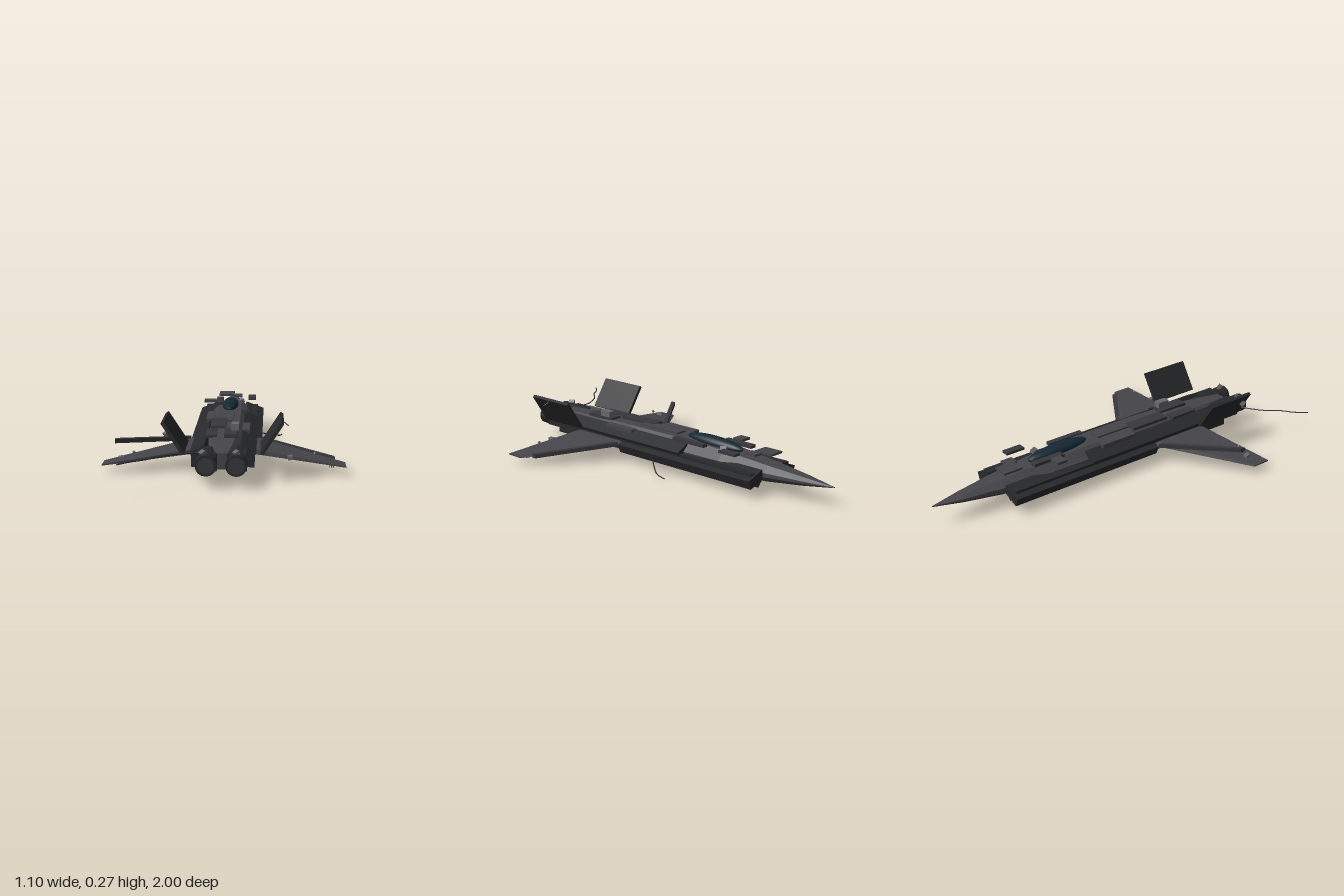
import * as THREE from 'three';

const mat = (color) => new THREE.MeshStandardMaterial({ color, flatShading: true });
const hull = mat(0x45454a), dark = mat(0x28292b), plate = mat(0x38383c), light = mat(0x68686c);
const glass = new THREE.MeshStandardMaterial({ color: 0x142834 });

// Skin between closed rings of [x, y, z], capped at both ends
function loft(rings) {
  const pos = [], n = rings[0].length;
  const tri = (a, b, c) => pos.push(...a, ...b, ...c);
  for (let i = 0; i < rings.length - 1; i++) {
    for (let j = 0; j < n; j++) {
      const k = (j + 1) % n, p = rings[i], q = rings[i + 1];
      tri(p[j], p[k], q[k]);
      tri(p[j], q[k], q[j]);
    }
  }
  const first = rings[0], last = rings[rings.length - 1];
  for (let j = 1; j < n - 1; j++) {
    tri(first[0], first[j + 1], first[j]);
    tri(last[0], last[j], last[j + 1]);
  }
  const g = new THREE.BufferGeometry();
  g.setAttribute('position', new THREE.Float32BufferAttribute(pos, 3));
  g.computeVertexNormals();
  return g;
}

function add(parent, name, geometry, material, x = 0, y = 0, z = 0, rz = 0) {
  const m = new THREE.Mesh(geometry, material);
  m.name = name;
  m.position.set(x, y, z);
  m.rotation.z = rz;
  parent.add(m);
  return m;
}

const box = (w, h, d) => new THREE.BoxGeometry(w, h, d);

// Flat blade section across the span: top, trailing edge, bottom, leading edge
const blade = (x, y, lead, trail, t) => [
  [x, y + t, lead + (trail - lead) * 0.12], [x, y + t, trail],
  [x, y - t, trail], [x, y - t, lead + (trail - lead) * 0.12], [x, y, lead],
];

function slat(rootY, tipY) {
  const section = (x, y, z) => [
    [x, y + 0.01, z - 0.01], [x, y + 0.01, z + 0.016],
    [x, y - 0.01, z + 0.016], [x, y - 0.01, z - 0.01],
  ];
  return loft([section(0.17, rootY, 0.21), section(0.505, tipY, 0.452)]);
}

function cable(points, r) {
  const curve = new THREE.CatmullRomCurve3(points.map((p) => new THREE.Vector3(...p)));
  return new THREE.TubeGeometry(curve, 20, r, 5);
}

// Parts shared by both sides, built at +x
function buildSide() {
  const s = new THREE.Group();
  add(s, 'wing', loft([
    blade(0.08, 0.095, 0.13, 0.5, 0.012),
    blade(0.165, 0.088, 0.2, 0.515, 0.01),
    blade(0.55, 0.042, 0.49, 0.59, 0.003),
  ]), hull);
  add(s, 'tailFin', box(0.016, 0.165, 0.265), dark, 0.217, 0.196, 0.598, -0.575);

  // Intake trunks, drooping outward
  add(s, 'intakeTrunk', box(0.1, 0.045, 0.85), dark, 0.115, 0.085, -0.225, -0.36);
  add(s, 'upperTrunk', box(0.075, 0.04, 0.87), dark, 0.105, 0.122, 0.245, -0.5);
  add(s, 'sideTrunk', box(0.08, 0.055, 1.31), dark, 0.1, 0.085, 0.02);
  add(s, 'lowerTrunk', box(0.06, 0.03, 1.3), dark, 0.092, 0.062, 0.02, 0.6);

  // Engine with a ribbed exhaust
  const tube = (r1, r2, len) => new THREE.CylinderGeometry(r1, r2, len, 16).rotateX(Math.PI / 2);
  add(s, 'engineCasing', box(0.088, 0.075, 0.16), dark, 0.065, 0.105, 0.72);
  add(s, 'nozzle', tube(0.043, 0.046, 0.2), dark, 0.065, 0.105, 0.765);
  add(s, 'nozzleRing', tube(0.047, 0.047, 0.045), dark, 0.065, 0.105, 0.84);
  add(s, 'nozzleFace', new THREE.CircleGeometry(0.036, 16), plate, 0.065, 0.105, 0.867);
  return s;
}

export function createModel() {
  const jet = new THREE.Group();
  jet.name = 'jet';

  // Fuselage: z, half width, bottom, top
  const stations = [
    [-1, 0.002, 0.099, 0.103], [-0.85, 0.038, 0.08, 0.119], [-0.65, 0.072, 0.06, 0.137],
    [-0.4, 0.098, 0.05, 0.158], [-0.15, 0.11, 0.045, 0.167], [0.2, 0.113, 0.043, 0.167],
    [0.45, 0.1, 0.047, 0.162], [0.65, 0.075, 0.055, 0.152], [0.78, 0.045, 0.07, 0.142],
  ];
  add(jet, 'fuselage', loft(stations.map(([z, w, b, t]) => {
    const h = t - b;
    const half = [[w * 0.6, b], [w, b + h * 0.35], [w, b + h * 0.62], [w * 0.55, t]];
    const mirrored = half.slice().reverse().map(([x, y]) => [-x, y]);
    return [...half, ...mirrored].map(([x, y]) => [x, y, z]);
  })), hull);

  // Canopy
  const canopy = add(jet, 'canopy', new THREE.SphereGeometry(1, 24, 16), glass, 0, 0.167, -0.3);
  canopy.scale.set(0.04, 0.03, 0.172);
  canopy.rotation.x = -0.03;

  // Wings, fins, trunks and engines, mirrored
  for (const [name, sign] of [['leftSide', 1], ['rightSide', -1]]) {
    const s = buildSide();
    s.name = name;
    s.scale.x = sign;
    jet.add(s);
  }

  // Leading edge slats; the right one is sprung upward
  add(jet, 'leftSlat', slat(0.09, 0.05), plate);
  add(jet, 'rightSlat', slat(0.093, 0.127), plate).scale.x = -1;

  // Deck panels: x, y, z, width, height, length
  const panels = [
    [-0.03, 0.176, -0.6, 0.08, 0.01, 0.1], [0.11, 0.176, -0.48, 0.04, 0.012, 0.1],
    [-0.11, 0.176, -0.37, 0.06, 0.012, 0.055], [-0.06, 0.17, -0.4, 0.035, 0.015, 0.17],
    [0.03, 0.172, -0.56, 0.05, 0.01, 0.06], [0.075, 0.165, -0.2, 0.03, 0.015, 0.2],
    [-0.085, 0.158, 0, 0.04, 0.02, 0.2], [-0.035, 0.17, 0.23, 0.07, 0.014, 0.22],
    [0.095, 0.15, 0.25, 0.035, 0.02, 0.18], [0.03, 0.166, 0.44, 0.06, 0.016, 0.17],
    [0.0, 0.17, 0.05, 0.06, 0.01, 0.25], [-0.06, 0.162, 0.44, 0.05, 0.014, 0.15],
  ];
  panels.forEach(([x, y, z, w, h, d], i) =>
    add(jet, 'deckPanel', box(w, h, d), i % 2 ? plate : hull, x, y, z));
  add(jet, 'deckUnit', box(0.036, 0.03, 0.065), light, 0.047, 0.19, 0.4);

  // Belly plates and pods
  add(jet, 'bellyPlate', box(0.17, 0.008, 0.5), dark, 0, 0.041, 0.0);
  add(jet, 'bellyPlate', box(0.1, 0.008, 0.35), plate, 0, 0.037, 0.3);
  add(jet, 'bellyPod', box(0.044, 0.045, 0.03), light, -0.017, 0.0225, -0.15);
  add(jet, 'bellyPod', box(0.04, 0.03, 0.04), light, -0.015, 0.035, 0.52);

  // Small fittings on wings, fins and engines
  const fittings = [
    [-0.245, 0.21, 0.7, 0.5], [0.225, 0.065, 0.33, 0.1], [-0.47, 0.06, 0.52, 0.2],
    [0.3, 0.075, 0.55, 0.1], [-0.08, 0.152, 0.82, 0.6], [0.065, 0.155, 0.83, 0.5],
    [0.055, 0.17, -0.4, 0.4], [-0.11, 0.1, 0.41, 0.3],
  ];
  for (const [x, y, z, r] of fittings) {
    add(jet, 'fitting', box(0.022, 0.018, 0.03), light, x, y, z, r).rotation.y = r;
  }
  for (const x of [-0.412, 0.412]) {
    add(jet, 'wingLight', new THREE.SphereGeometry(0.007, 8, 6), light, x, 0.088, 0.52);
  }
  for (const x of [0.48, 0.488, 0.497]) {
    add(jet, 'wingTipPin', box(0.003, 0.025, 0.004), dark, x, 0.036, 0.52);
  }

  // Loose cables
  add(jet, 'tailCable', cable([[-0.1, 0.138, 0.76], [-0.15, 0.138, 0.765], [-0.2, 0.138, 0.79],
    [-0.27, 0.138, 0.84], [-0.32, 0.138, 0.9], [-0.38, 0.138, 0.945], [-0.428, 0.138, 0.998]], 0.003), dark);
  add(jet, 'sideCable', cable([[0.15, 0.075, 0], [0.17, 0.068, -0.04], [0.21, 0.052, -0.09],
    [0.255, 0.034, -0.155], [0.268, 0.027, -0.22]], 0.003), dark);
  add(jet, 'finWire', cable([[0.255, 0.262, 0.6], [0.27, 0.25, 0.61], [0.29, 0.235, 0.62]], 0.0025), dark);
  return jet;
}
